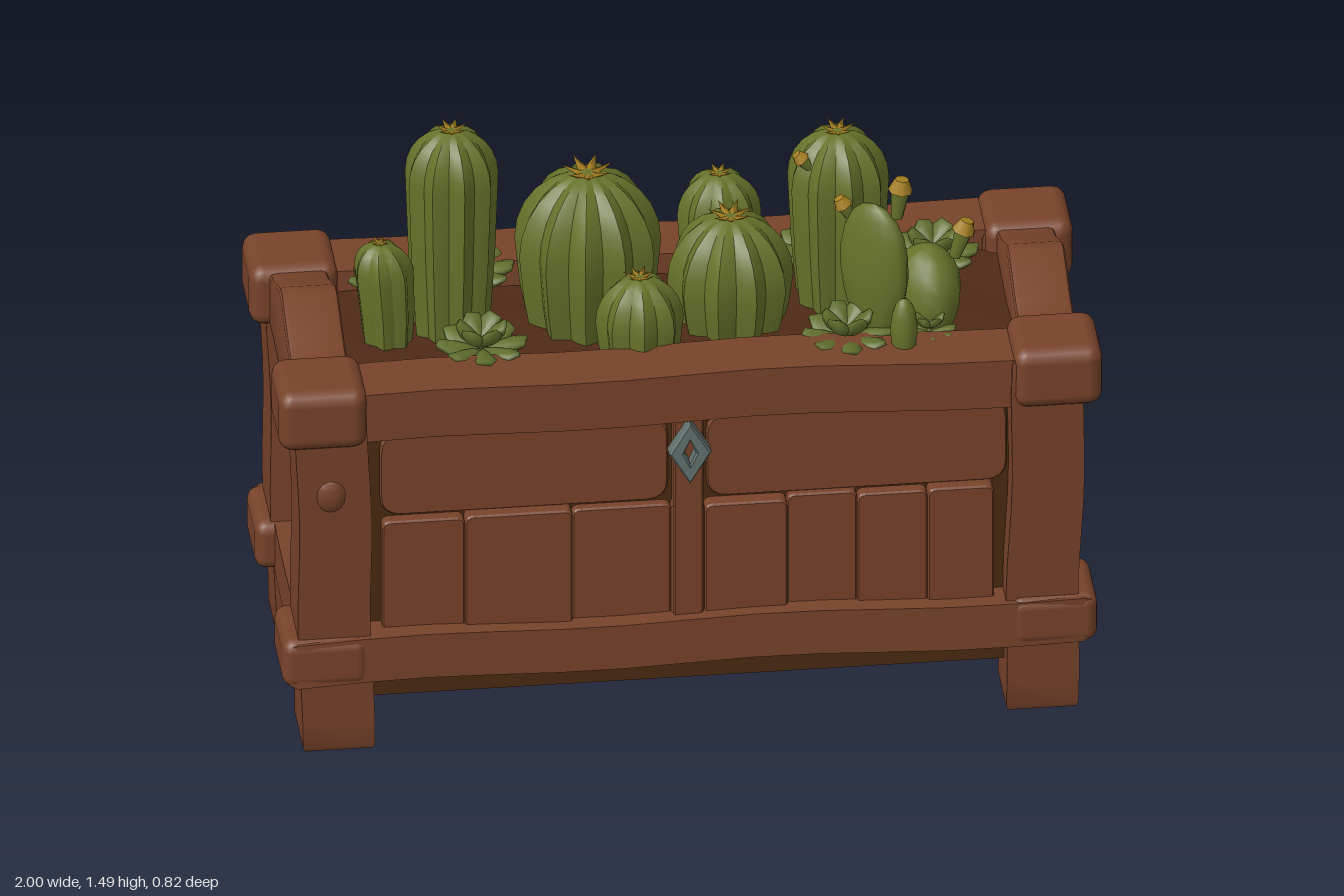
import * as THREE from 'three';
import { mergeGeometries, toCreasedNormals } from 'three/addons/utils/BufferGeometryUtils.js';
import { RoundedBoxGeometry } from 'three/addons/geometries/RoundedBoxGeometry.js';

const mat = (name, color) => new THREE.MeshStandardMaterial({ name, color });
const wood = mat('wood', 0x78432a), darkWood = mat('dark wood', 0x4a2a12), soilMat = mat('soil', 0x4f2a17);
const green = mat('cactus green', 0x66722a), leafGreen = mat('leaf green', 0x5f6f2c);
const yellow = mat('flower yellow', 0xa57f20), metal = mat('metal', 0x62726f);

function add(parent, name, geo, material, x = 0, y = 0, z = 0) {
  const m = new THREE.Mesh(geo, material);
  m.name = name;
  m.position.set(x, y, z);
  parent.add(m);
  return m;
}

// Move every vertex by a rule
function warp(geo, rule) {
  const p = geo.attributes.position, v = new THREE.Vector3();
  for (let i = 0; i < p.count; i++) {
    rule(v.fromBufferAttribute(p, i));
    p.setXYZ(i, v.x, v.y, v.z);
  }
  return geo;
}

// Hewn beam with chamfered ends, running along 'x', 'y' or 'z'
function beam(axis, len, w, h, rule, bev = 0.018) {
  const a = w / 2 - bev, b = h / 2 - bev;
  const s = new THREE.Shape([[-a, -b], [a, -b], [a, b], [-a, b]].map(q => new THREE.Vector2(...q)));
  const g = new THREE.ExtrudeGeometry(s, { depth: len - 2 * bev, steps: 12, bevelSize: bev, bevelThickness: bev, bevelSegments: 2 });
  g.translate(0, 0, bev - len / 2);
  if (axis === 'x') g.rotateY(Math.PI / 2);
  if (axis === 'y') g.rotateX(-Math.PI / 2);
  if (rule) warp(g, rule);
  return toCreasedNormals(g, 0.7);
}

// Flat board with rounded corners, facing +z
function board(x0, x1, y0, y1, depth, r = 0.015) {
  const s = new THREE.Shape();
  s.moveTo(x0 + r, y0); s.lineTo(x1 - r, y0); s.quadraticCurveTo(x1, y0, x1, y0 + r);
  s.lineTo(x1, y1 - r); s.quadraticCurveTo(x1, y1, x1 - r, y1);
  s.lineTo(x0 + r, y1); s.quadraticCurveTo(x0, y1, x0, y1 - r);
  s.lineTo(x0, y0 + r); s.quadraticCurveTo(x0, y0, x0 + r, y0);
  return new THREE.ExtrudeGeometry(s, { depth, bevelSize: 0.004, bevelThickness: 0.006, bevelSegments: 1, curveSegments: 4 });
}

function longSide(name, edges, uppers) {
  const g = new THREE.Group();
  g.name = name;
  const bow = k => v => {
    v.z -= k * (1 - v.x * v.x);
    v.y += 0.006 * Math.sin(v.x * 7);
  };
  add(g, 'topRail', beam('x', 1.9, 0.155, 0.13, bow(0.025), 0.03), wood, 0, 0.935, 0.315);
  add(g, 'bottomRail', beam('x', 1.96, 0.17, 0.12, bow(0.015), 0.03), wood, 0, 0.262, 0.305);
  edges.forEach((e, i) => {
    if (i) add(g, 'plank', board(edges[i - 1] + 0.004, e - 0.004, 0.28, 0.62 - 0.006 * (i % 2), 0.02 + 0.007 * (i % 3)), wood, 0, 0, 0.3);
  });
  for (const [a, b] of uppers) add(g, 'upperBoard', board(a, b, 0.63, 0.85, 0.012, 0.05), wood, 0, 0, 0.297);
  return g;
}

function shortSide(name) {
  const g = new THREE.Group();
  g.name = name;
  // Gabled top rail
  const s = new THREE.Shape([[-0.24, 0.88], [0, 0.87], [0.24, 0.88], [0.24, 0.995], [0.15, 1.015], [0.015, 1.075], [-0.015, 1.075], [-0.15, 1.015], [-0.24, 0.995]].map(q => new THREE.Vector2(...q)));
  const top = new THREE.ExtrudeGeometry(s, { depth: 0.11, bevelSize: 0.01, bevelThickness: 0.015, bevelSegments: 2 });
  add(g, 'gabledRail', toCreasedNormals(top, 0.6), wood, 0, 0, 0.825);
  add(g, 'lowerRail', beam('x', 0.5, 0.13, 0.13, v => { v.y -= 0.012 * Math.cos(v.x * 6); }), wood, 0, 0.265, 0.875);
  for (const [a, b, d] of [[-0.25, -0.172, 0.04], [-0.158, -0.006, 0.025], [0.006, 0.158, 0.03], [0.172, 0.25, 0.04]])
    add(g, 'endPlank', board(a, b, 0.31, 0.87, d, 0.03), wood, 0, 0, 0.845);
  return g;
}

// Ribbed cactus: star section along a domed profile
function cactus(parent, name, x, z, r, top, ribs = 9, flower = true, lean = 0) {
  const base = 0.9, h = top - base;
  const dome = Math.min(0.75, 1.15 * r / h);
  const pts = [[0.8, 0], [0.93, (1 - dome) * 0.5], [1, 1 - dome]];
  for (let i = 1; i <= 6; i++) {
    const t = i / 6 * Math.PI / 2;
    pts.push([Math.max(Math.cos(t), 0.001), 1 - dome + dome * Math.sin(t)]);
  }
  const geo = new THREE.LatheGeometry(pts.map(p => new THREE.Vector2(p[0] * r, p[1] * h)), ribs * 4);
  warp(geo, v => {
    const a = Math.atan2(v.z, v.x) * ribs / (2 * Math.PI);
    const k = 1.02 - 0.34 * Math.abs(a - Math.round(a));
    v.x = v.x * k + lean * v.y * v.y;
    v.z *= k;
  });
  add(parent, name, toCreasedNormals(geo, 0.5), green, x, base, z);
  if (!flower) return;
  const petals = [];
  for (let i = 0; i < 7; i++) {
    const p = new THREE.ConeGeometry(r * 0.1, r * 0.34, 4);
    p.scale(1, 1, 0.5).translate(0, r * 0.17, 0).rotateX(1.15).translate(0, 0, r * 0.06).rotateY(i * Math.PI * 2 / 7);
    petals.push(p);
  }
  add(parent, name + 'Flower', mergeGeometries(petals), yellow, x + lean * h * h, top - r * 0.06, z);
}

// Rosette of thick pointed leaves in two tiers
function rosette(parent, x, z, r) {
  const leaves = [];
  for (const [n, tilt, len, up] of [[8, 0.22, 1, 0], [6, 0.75, 0.75, 0.02]])
    for (let i = 0; i < n; i++) {
      const l = new THREE.SphereGeometry(1, 7, 5);
      warp(l, v => { v.x *= 0.75 + 0.35 * v.z; v.y += 0.5 * v.z * v.z; });
      l.scale(r * 0.32, r * 0.13, r * 0.5 * len).translate(0, 0, r * 0.5 * len).rotateX(-tilt)
        .rotateY((i + up * 20) * Math.PI * 2 / n).translate(0, up, 0);
      leaves.push(l);
    }
  const geo = mergeGeometries(leaves);
  geo.computeVertexNormals();
  add(parent, 'rosette', geo, leafGreen, x, 0.975, z);
}

// Flat cactus pad, thinnest across its own z, turned about y
function pad(parent, x, y, z, w, h, d, turn, tilt = 0) {
  const geo = new THREE.SphereGeometry(1, 14, 10);
  warp(geo, v => { v.x *= 0.92 + 0.16 * v.y; }).scale(w, h, d);
  geo.computeVertexNormals();
  add(parent, 'cactusPad', geo, green, x, y, z).rotation.set(0, turn, tilt);
}

// Stalked bud with a yellow tip
function bud(parent, x, y, z, s, tilt = 0) {
  const g = new THREE.Group();
  g.name = 'bud';
  add(g, 'budStalk', new THREE.CylinderGeometry(s * 0.8, s * 0.5, s * 2.6, 8), green, 0, -s * 1.5, 0);
  add(g, 'budTip', new THREE.CylinderGeometry(s * 0.6, s * 1.05, s * 1.1, 7), yellow, 0, s * 0.3, 0);
  g.position.set(x, y, z);
  g.rotation.z = tilt;
  parent.add(g);
}

export function createModel() {
  const root = new THREE.Group();
  root.name = 'cactusPlanter';

  // Inner trough and soil
  add(root, 'trough', new THREE.BoxGeometry(1.7, 0.79, 0.6), darkWood, 0, 0.515, 0);
  const soil = new THREE.BoxGeometry(1.66, 0.06, 0.54, 24, 1, 10);
  warp(soil, v => { if (v.y > 0) v.y += 0.012 * Math.sin(v.x * 13) * Math.cos(v.z * 15); });
  soil.computeVertexNormals();
  add(root, 'soil', soil, soilMat, 0, 0.915, 0);

  // Plank walls
  root.add(longSide('frontWall', [-0.74, -0.54, -0.28, -0.04, 0.04, 0.24, 0.41, 0.58, 0.74], [[-0.74, -0.05], [0.05, 0.77]]));
  const back = longSide('backWall', [-0.74, -0.56, -0.36, -0.16, 0.04, 0.22, 0.4, 0.58, 0.74], [[-0.74, 0.74]]);
  back.rotation.y = Math.PI;
  root.add(back);
  for (const s of [-1, 1]) {
    const end = shortSide(s > 0 ? 'leftEnd' : 'rightEnd');
    end.rotation.y = s * Math.PI / 2;
    root.add(end);
  }

  // Corner posts with their wrapped joints
  for (const sx of [-1, 1]) for (const sz of [-1, 1]) {
    const splay = v => {
      const t = v.y + 0.5;
      v.x += sx * 0.018 * (t - 0.5) + 0.004 * Math.sin(v.y * 11);
      v.z += sz * 0.035 * (t - 0.5);
    };
    add(root, 'cornerPost', beam('y', 1, 0.175, 0.17, splay), wood, sx * 0.86, 0.5, sz * 0.29);
    add(root, 'topCorner', new RoundedBoxGeometry(0.215, 0.16, 0.21, 2, 0.035), wood, sx * 0.89, 0.945, sz * 0.303);
    add(root, 'bottomCorner', new RoundedBoxGeometry(0.21, 0.13, 0.21, 2, 0.03), wood, sx * 0.882, 0.263, sz * 0.285);
  }
  for (const z of [0.375, -0.375]) {
    const knot = add(root, 'woodKnot', new THREE.SphereGeometry(0.04, 10, 8), wood, -0.87, 0.73, z);
    knot.scale.set(1, 1.2, 0.5);
  }

  // Centre strip and diamond plate
  add(root, 'centreStrip', board(-0.032, 0.032, 0.31, 0.88, 0.04), wood, 0, 0, 0.3);
  const quad = (w, h) => [[0, -h], [w, 0], [0, h], [-w, 0]].map(q => new THREE.Vector2(...q));
  const plate = new THREE.Shape(quad(0.046, 0.078));
  plate.holes.push(new THREE.Path(quad(0.02, 0.04).reverse()));
  add(root, 'diamondPlate', new THREE.ExtrudeGeometry(plate, { depth: 0.03, bevelSize: 0.005, bevelThickness: 0.006, bevelSegments: 1 }), metal, 0, 0.787, 0.345);

  // Ribbed cacti
  const plants = new THREE.Group();
  plants.name = 'plants';
  root.add(plants);
  cactus(plants, 'tallCactus', -0.53, -0.04, 0.112, 1.485, 9);
  cactus(plants, 'smallLeftCactus', -0.69, 0.01, 0.072, 1.21, 7, true, -0.2);
  cactus(plants, 'barrelCactus', -0.2, -0.04, 0.175, 1.345, 11);
  cactus(plants, 'roundCactus', 0.14, 0.01, 0.15, 1.23, 10);
  cactus(plants, 'frontCactus', -0.095, 0.14, 0.105, 1.15, 8);
  cactus(plants, 'backCactus', 0.14, -0.22, 0.1, 1.215, 8);
  cactus(plants, 'columnCactus', 0.41, -0.075, 0.122, 1.4, 9);
  bud(plants, 0.315, 1.35, -0.03, 0.02, 0.7);

  // Paddle cacti
  pad(plants, 0.47, 1.14, 0.17, 0.105, 0.19, 0.045, -0.75);
  bud(plants, 0.53, 1.39, 0.205, 0.029, -0.12);
  bud(plants, 0.4, 1.3, 0.11, 0.022, 0.5);
  pad(plants, 0.53, 1.02, 0.27, 0.035, 0.1, 0.035, 0);
  pad(plants, 0.6, 1.03, 0.1, 0.085, 0.13, 0.105, 0.4, -0.15);
  bud(plants, 0.695, 1.21, 0.11, 0.028, -0.3);

  for (const [x, z, r] of [[-0.47, -0.2, 0.12], [-0.68, -0.18, 0.09], [-0.48, 0.16, 0.12], [0.38, -0.2, 0.12], [0.65, -0.15, 0.12], [0.4, 0.21, 0.12], [0.6, 0.2, 0.07]])
    rosette(plants, x, z, r);
  return root;
}
